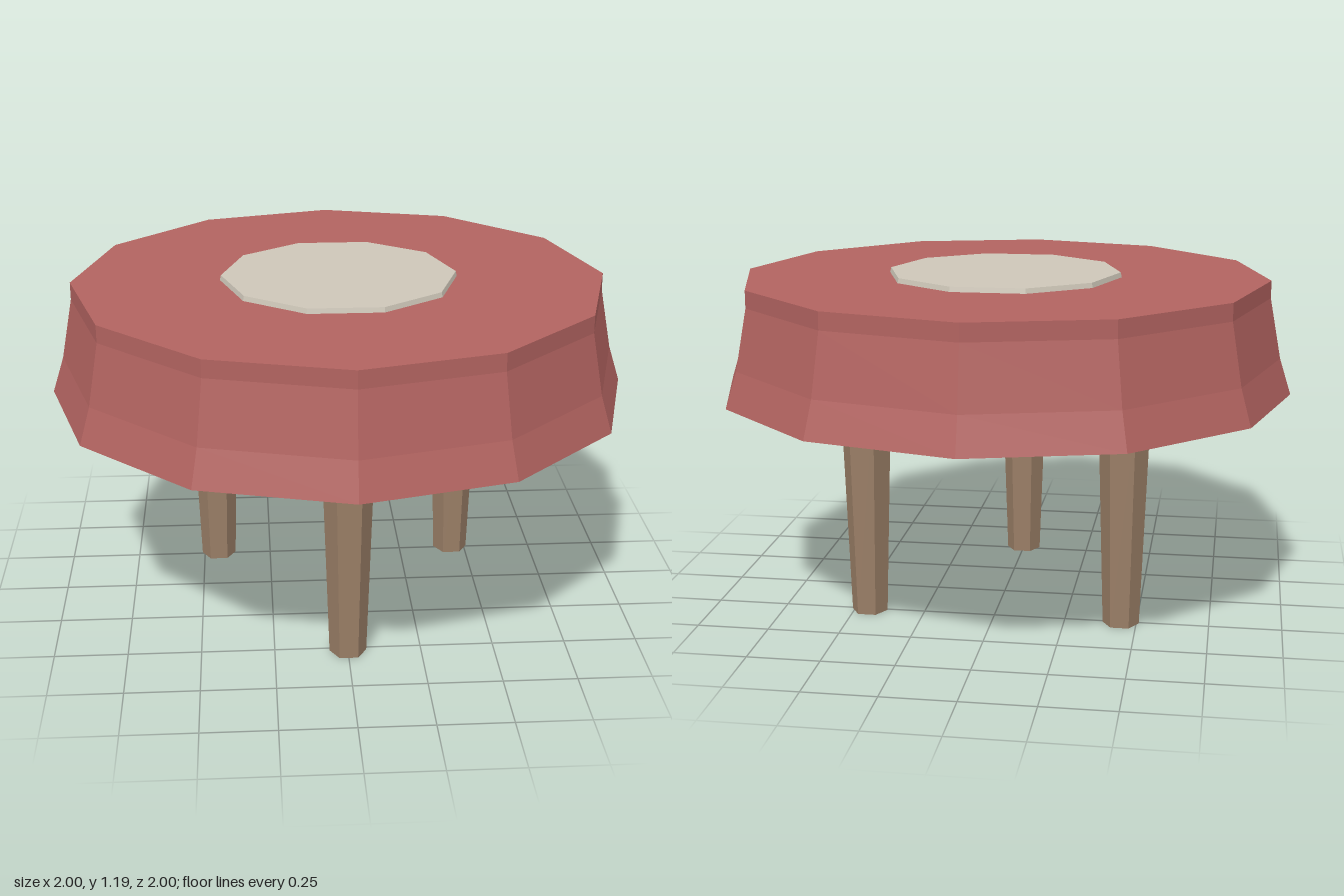
import * as THREE from 'three';

function material(name, color, side = THREE.FrontSide) {
  const m = new THREE.MeshStandardMaterial({ color, side, flatShading: true });
  m.name = name;
  return m;
}

// Upright faceted cylinder from y0 to y1, with corners on the x axis
function prism(name, rTop, rBottom, y0, y1, sides, mat) {
  const geo = new THREE.CylinderGeometry(rTop, rBottom, y1 - y0, sides, 1, false, Math.PI / 2);
  geo.translate(0, (y0 + y1) / 2, 0);
  const mesh = new THREE.Mesh(geo, mat);
  mesh.name = name;
  return mesh;
}

export function createModel() {
  const red = material('red cap', 0xb26360, THREE.DoubleSide);
  const cream = material('cream spot', 0xcdc6b8);
  const wood = material('brown wood', 0x9a7e66);

  const stool = new THREE.Group();
  stool.name = 'stool';

  // Seat slab and the hollow skirt flaring out below it
  stool.add(prism('seatTop', 0.92, 0.92, 1.11, 1.17, 12, red));
  const profile = [[1, 0.775], [0.96, 0.9], [0.92, 1.11]].map(([r, y]) => new THREE.Vector2(r, y));
  const skirt = new THREE.Mesh(new THREE.LatheGeometry(profile, 12), red);
  skirt.name = 'seatSkirt';
  stool.add(skirt);

  // Raised disc in the middle of the seat
  stool.add(prism('centreDisc', 0.405, 0.41, 1.165, 1.187, 10, cream));

  // Three tapered six-sided legs, one at the front
  for (let i = 0; i < 3; i++) {
    const a = (i * Math.PI * 2) / 3;
    const leg = prism('leg' + (i + 1), 0.089, 0.063, 0, 0.78, 6, wood);
    leg.position.set(Math.sin(a) * 0.515, 0, Math.cos(a) * 0.515);
    stool.add(leg);
  }
  return stool;
}
